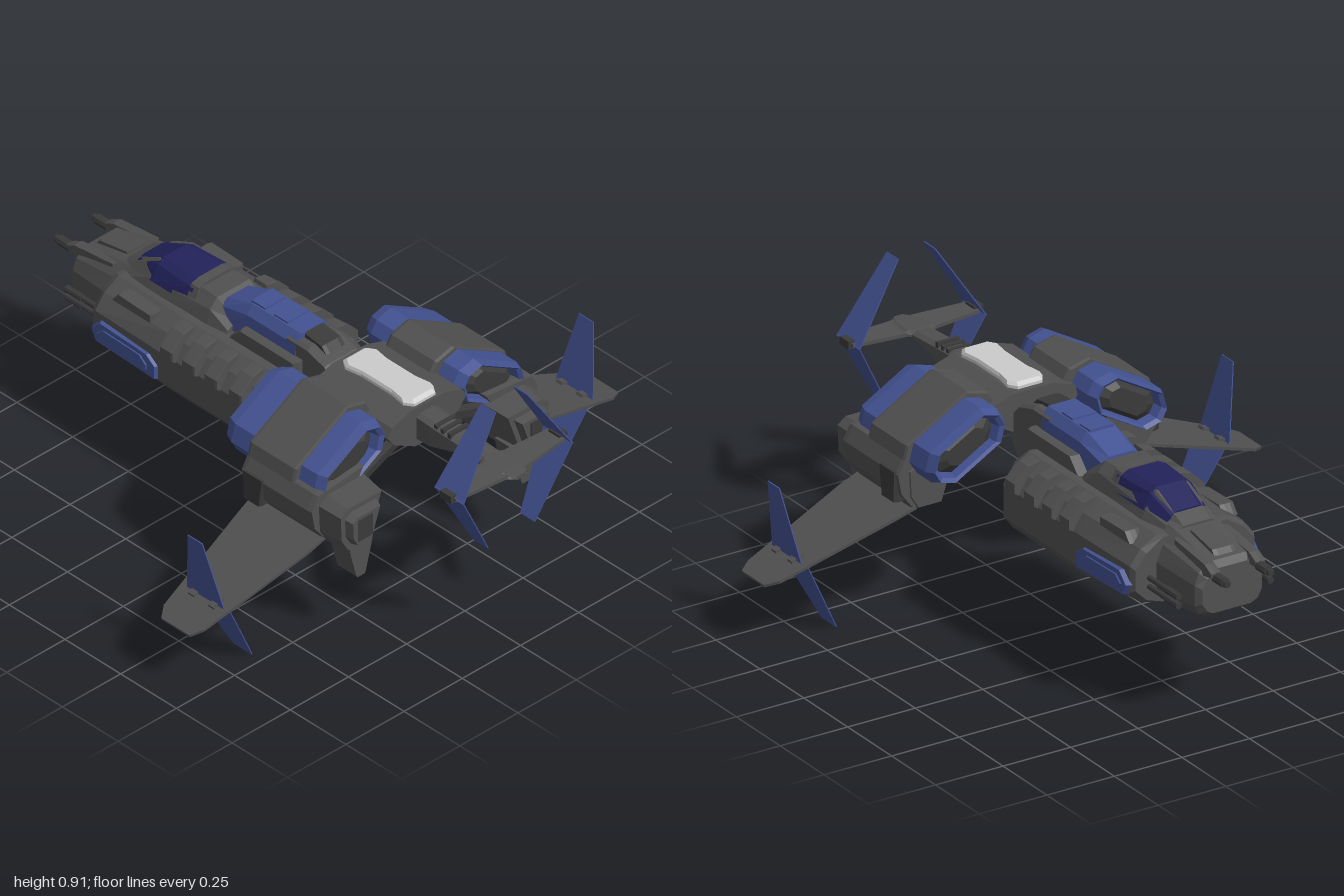
import * as THREE from 'three';

const DARK = 0x505050, DARKER = 0x3a3a3a, BLUE = 0x435292, GLASS = 0x22225a, LIGHT = 0xc0c0c0;

// Closed solid through rings of [x, y, z] points, wound outwards
function loft(rings) {
  const n = rings[0].length, tris = [];
  for (let r = 0; r < rings.length - 1; r++) {
    for (let i = 0; i < n; i++) {
      const j = (i + 1) % n, a = rings[r], b = rings[r + 1];
      tris.push([a[i], a[j], b[j]], [a[i], b[j], b[i]]);
    }
  }
  const cap = (ring, flip) => {
    const c = [0, 1, 2].map(k => ring.reduce((s, p) => s + p[k], 0) / n);
    ring.forEach((p, i) => {
      const q = ring[(i + 1) % n];
      tris.push(flip ? [c, q, p] : [c, p, q]);
    });
  };
  cap(rings[0], true);
  cap(rings[rings.length - 1], false);
  const o = rings[0][0], V = p => new THREE.Vector3(p[0] - o[0], p[1] - o[1], p[2] - o[2]);
  const volume = tris.reduce((s, [a, b, c]) => s + V(a).dot(V(b).cross(V(c))), 0);
  if (volume < 0) tris.forEach(t => t.reverse());
  return new THREE.BufferGeometry().setAttribute('position', new THREE.Float32BufferAttribute(tris.flat(2), 3));
}

// Ring across the body, mirrored from its right half (bottom to top)
const sym = (z, half) => [...half, ...half.slice().reverse().map(([x, y]) => [-x, y])].map(([x, y]) => [x, y, z]);

// Outline in x, y swept along z; stations are [z, scale about the centre]
function sweepZ(outline, stations) {
  const cx = outline.reduce((s, p) => s + p[0], 0) / outline.length;
  const cy = outline.reduce((s, p) => s + p[1], 0) / outline.length;
  return loft(stations.map(([z, k]) => outline.map(([x, y]) => [cx + (x - cx) * k, cy + (y - cy) * k, z])));
}

// Outline in z, y swept along x with slightly inset ends
function sweepX(outline, x0, x1) {
  const cz = outline.reduce((s, p) => s + p[0], 0) / outline.length;
  const cy = outline.reduce((s, p) => s + p[1], 0) / outline.length;
  const e = Math.min(0.015, (x1 - x0) / 3);
  return loft([[x0, 0.94], [x0 + e, 1], [x1 - e, 1], [x1, 0.94]].map(([x, k]) =>
    outline.map(([z, y]) => [x, cy + (y - cy) * k, cz + (z - cz) * k])));
}

// Thin plate through stations [x, y, zMin, zMax]
function plate(st, t) {
  const a = st[0], b = st[st.length - 1], l = Math.hypot(b[0] - a[0], b[1] - a[1]);
  const nx = -(b[1] - a[1]) / l * t, ny = (b[0] - a[0]) / l * t;
  return loft(st.map(([x, y, z0, z1]) => [[x + nx, y + ny, z0], [x + nx, y + ny, z1], [x - nx, y - ny, z1], [x - nx, y - ny, z0]]));
}

const box = (x0, x1, y0, y1, z0, z1) =>
  new THREE.BoxGeometry(x1 - x0, y1 - y0, z1 - z0).translate((x0 + x1) / 2, (y0 + y1) / 2, (z0 + z1) / 2);

const barrel = (x, y, z0, z1, r) =>
  new THREE.CylinderGeometry(r, r, z1 - z0, 8).rotateX(Math.PI / 2).translate(x, y, (z0 + z1) / 2);

function beam(a, b, w) {
  const A = new THREE.Vector3(...a), B = new THREE.Vector3(...b), d = B.clone().sub(A);
  const q = new THREE.Quaternion().setFromUnitVectors(new THREE.Vector3(0, 1, 0), d.clone().normalize());
  const m = A.add(B).multiplyScalar(0.5);
  return new THREE.BoxGeometry(w, d.length(), w).applyQuaternion(q).translate(m.x, m.y, m.z);
}

// Chamfered rectangle tilted down towards the outside
function tilted(cx, cy, l, t, c, angle) {
  const a = l / 2, b = t / 2, s = Math.sin(angle), k = Math.cos(angle);
  return [[-a, c - b], [c - a, -b], [a - c, -b], [a, c - b], [a, b - c], [a - c, b], [c - a, b], [-a, b - c]]
    .map(([x, y]) => [cx + x * k - y * s, cy + x * s + y * k]);
}

function mirrored(geo) {
  const g = geo.clone(), p = g.attributes.position;
  for (let i = 0; i < p.count; i += 3) {
    const v = [0, 2, 1].map(k => [-p.getX(i + k), p.getY(i + k), p.getZ(i + k)]);
    v.forEach((q, k) => p.setXYZ(i + k, ...q));
  }
  return g;
}

export function createModel() {
  const model = new THREE.Group();
  model.name = 'gunship';
  const mats = {};
  const add = (name, geo, color = DARK) => {
    const g = geo.index ? geo.toNonIndexed() : geo;
    g.computeVertexNormals();
    mats[color] ??= new THREE.MeshStandardMaterial({ color, flatShading: true });
    const m = new THREE.Mesh(g, mats[color]);
    m.name = name;
    model.add(m);
    return g;
  };
  const pair = (name, geo, color) => {
    const g = add(name + 'Left', geo, color);
    add(name + 'Right', mirrored(g), color);
  };

  // Hull and nose
  const mid = [[.14, .345], [.2, .365], [.235, .41], [.235, .52], [.2, .575], [.14, .61]];
  add('hull', loft([
    sym(.075, [[.12, .36], [.18, .39], [.21, .43], [.21, .51], [.17, .57], [.12, .595]]),
    sym(.04, mid), sym(-.38, mid),
    sym(-.67, [[.13, .37], [.19, .39], [.23, .43], [.23, .52], [.19, .57], [.13, .605]]),
    sym(-.69, [[.12, .38], [.18, .4], [.22, .44], [.22, .51], [.18, .56], [.12, .6]])]));
  add('nose', loft([
    sym(-.66, [[.1, .37], [.13, .39], [.145, .43], [.145, .52], [.12, .58], [.08, .625]]),
    sym(-.88, [[.08, .395], [.11, .41], [.125, .44], [.125, .51], [.11, .55], [.07, .58]]),
    sym(-.9, [[.07, .41], [.09, .42], [.11, .45], [.11, .5], [.09, .53], [.055, .56]])]));
  add('noseTopPanel', sweepX([[-.72, .58], [-.72, .622], [-.85, .6], [-.88, .565]], -.04, .04));
  add('cabin', loft([
    sym(-.21, [[.12, .59], [.1, .62], [.06, .64]]),
    sym(-.29, [[.12, .59], [.1, .66], [.07, .692]]),
    sym(-.56, [[.12, .59], [.1, .64], [.06, .694]]),
    sym(-.7, [[.11, .58], [.08, .61], [.05, .625]])]));
  add('canopy', loft([
    sym(-.38, [[.105, .635], [.085, .685], [.055, .7]]),
    sym(-.55, [[.105, .635], [.075, .685], [.05, .7]]),
    sym(-.65, [[.08, .622], [.065, .645], [.04, .655]])]), GLASS);
  add('canopyFrame', loft([
    sym(-.36, [[.1, .65], [.08, .695], [.05, .704]]),
    sym(-.395, [[.1, .65], [.08, .695], [.05, .704]])]));

  // Spine and neck
  add('spine', loft([
    sym(.07, [[.08, .6], [.075, .7], [.05, .732]]),
    sym(-.15, [[.08, .6], [.075, .7], [.05, .732]]),
    sym(-.27, [[.08, .6], [.07, .67], [.045, .69]])]), BLUE);
  for (const z of [-.13, -.03]) add('spinePanel', box(-.045, .045, .72, .738, z - .03, z + .03), BLUE);
  pair('spineDuct', sweepX([[.1, .6], [.1, .66], [-.15, .66], [-.21, .6]], .06, .11));
  add('neck', sweepX([[.02, .36], [.09, .36], [.19, .48], [.25, .56], [.25, .64], [.2, .69], [.12, .715], [.02, .715]], -.075, .075));
  add('neckCover', sweepX([[.07, .68], [.07, .732], [.15, .722], [.2, .67]], -.04, .04), DARKER);

  // Hull side details
  for (const z of [-.33, -.23, -.13, -.02]) {
    pair('rib', sweepZ([[.15, .59], [.155, .618], [.2, .608], [.252, .56], [.252, .525], [.22, .505]], [[z - .028, .97], [z - .02, 1], [z + .02, 1], [z + .028, .97]]));
  }
  pair('sidePanel', sweepX([[-.38, .41], [-.38, .46], [-.42, .49], [-.64, .5], [-.68, .46], [-.66, .42]], .2, .245), BLUE);
  pair('sidePanelInset', sweepX([[-.42, .43], [-.42, .45], [-.45, .475], [-.62, .48], [-.65, .455], [-.63, .435]], .235, .249), BLUE);
  pair('shoulderPanel', sweepX([[-.45, .57], [-.45, .6], [-.6, .605], [-.63, .57]], .15, .2));
  for (const z of [0, -.1, -.2, -.3]) add('bellyPlate', box(-.13, .13, .335, .36, z - .04, z + .04));

  // Guns
  pair('noseGunHousing', sweepX([[-.72, .55], [-.72, .605], [-.9, .585], [-.94, .565], [-.94, .55], [-.86, .535]], .065, .1));
  pair('noseGun', barrel(.08, .55, -1, -.85, .012), DARKER);
  pair('noseGunMuzzle', barrel(.08, .55, -.985, -.93, .017), DARKER);
  for (const y of [.445, .475]) {
    pair('sideGun', barrel(.17, y, -.86, -.66, .009), DARKER);
    pair('sideGunMuzzle', barrel(.17, y, -.86, -.79, .012), DARKER);
  }

  // Centre section with light roof panel
  add('centreBody', loft([.23, .58].map(z =>
    sym(z, [[.05, .57], [.14, .62], [.17, .66], [.15, .69], [.07, .715]]))));
  const plan = [[-.045, .25], [.045, .25], [.065, .28], [.055, .34], [.055, .48], [.065, .54], [.045, .57],
    [-.045, .57], [-.065, .54], [-.055, .48], [-.055, .34], [-.065, .28]];
  add('roofPanel', loft([[.7, 1], [.725, 1], [.735, .92]].map(([y, k]) => plan.map(([x, z]) => [x * k, y, .41 + (z - .41) * k]))), LIGHT);
  for (const z of [.3, .53]) pair('strut', beam([.06, .6, z], [.32, .53, z + .03], .03), DARKER);

  // Engine pods, wrapping bands and lower nacelles
  const tilt = -Math.PI / 6, pod = tilted(.3, .623, .305, .138, .045, tilt);
  pair('pod', sweepZ(pod, [[.21, .72], [.14, .8], [.13, .9], [.165, 1], [.535, 1], [.57, .9], [.56, .8], [.49, .72]]), BLUE);
  pair('podCore', sweepZ(pod, [[.15, .5], [.17, .73], [.53, .73], [.55, .5]]), DARKER);
  pair('podBand', sweepZ(tilted(.3, .62, .37, .152, .055, tilt), [[.255, .97], [.265, 1], [.455, 1], [.465, .97]]));
  pair('pylon', sweepZ([[.46, .58], [.488, .53], [.475, .46], [.43, .4], [.32, .42], [.3, .53], [.26, .6]], [[.255, .97], [.27, 1], [.55, 1], [.57, .97]]));
  const nacelle = [[.32, .39], [.42, .39], [.45, .44], [.455, .54], [.42, .565], [.26, .565], [.29, .48]];
  pair('nacelle', sweepZ(nacelle, [[.25, .85], [.28, 1], [.57, 1], [.66, .9], [.66, .68], [.69, .6]]));
  pair('nacelleVent', box(.34, .4, .44, .52, .67, .693), DARKER);
  pair('nacelleBlock', sweepX([[.27, .43], [.34, .43], [.355, .54], [.265, .54]], .42, .492), DARKER);
  pair('prong', loft([[.42, .3, .41], [.37, .31, .4], [.275, .335, .375], [.268, .34, .37]].map(([y, x0, x1]) =>
    [[x0, y, .57], [x1, y, .57], [x1, y, .655], [x0, y, .655]])));

  // Wings with tip fins
  pair('wing', plate([[.42, .405, .25, .57], [.5, .376, .26, .565], [.88, .24, .32, .5], [.92, .225, .35, .475]], .005));
  pair('wingFinUpper', plate([[.79, .265, .33, .5], [.84, .527, .385, .45]], .002), BLUE);
  pair('wingFinLower', plate([[.775, .27, .33, .5], [.635, .002, .375, .46]], .002), BLUE);
  for (const z of [.37, .46]) pair('wingFinMount', beam([.765, .283, z], [.81, .267, z], .026));

  // Tail boom, tailplane and fins
  add('tailBoom', loft([[.55, .045, .585, .69], [.64, .045, .59, .685], [.76, .04, .625, .675], [.86, .04, .64, .668], [.88, .065, .64, .668],
    [.96, .06, .642, .664], [1, .025, .645, .66]].map(([z, w, y0, y1]) => sym(z, [[w * .6, y0], [w, y0 + .01], [w, y1 - .01], [w * .6, y1]]))));
  for (const z of [.66, .69, .72]) add('tailRib', box(-.04, .04, .62, .688, z - .007, z + .007), DARKER);
  pair('tailplane', plate([[.03, .655, .87, .98], [.24, .658, .89, .96]], .006));
  pair('tailFinUpper', plate([[.235, .655, .86, .99], [.068, .912, .895, .96]], .002), BLUE);
  pair('tailFinLower', plate([[.235, .66, .86, .99], [.1, .405, .895, .96]], .002), BLUE);
  pair('tailFinMount', box(.215, .25, .645, .672, .9, .95), DARKER);

  return model;
}
